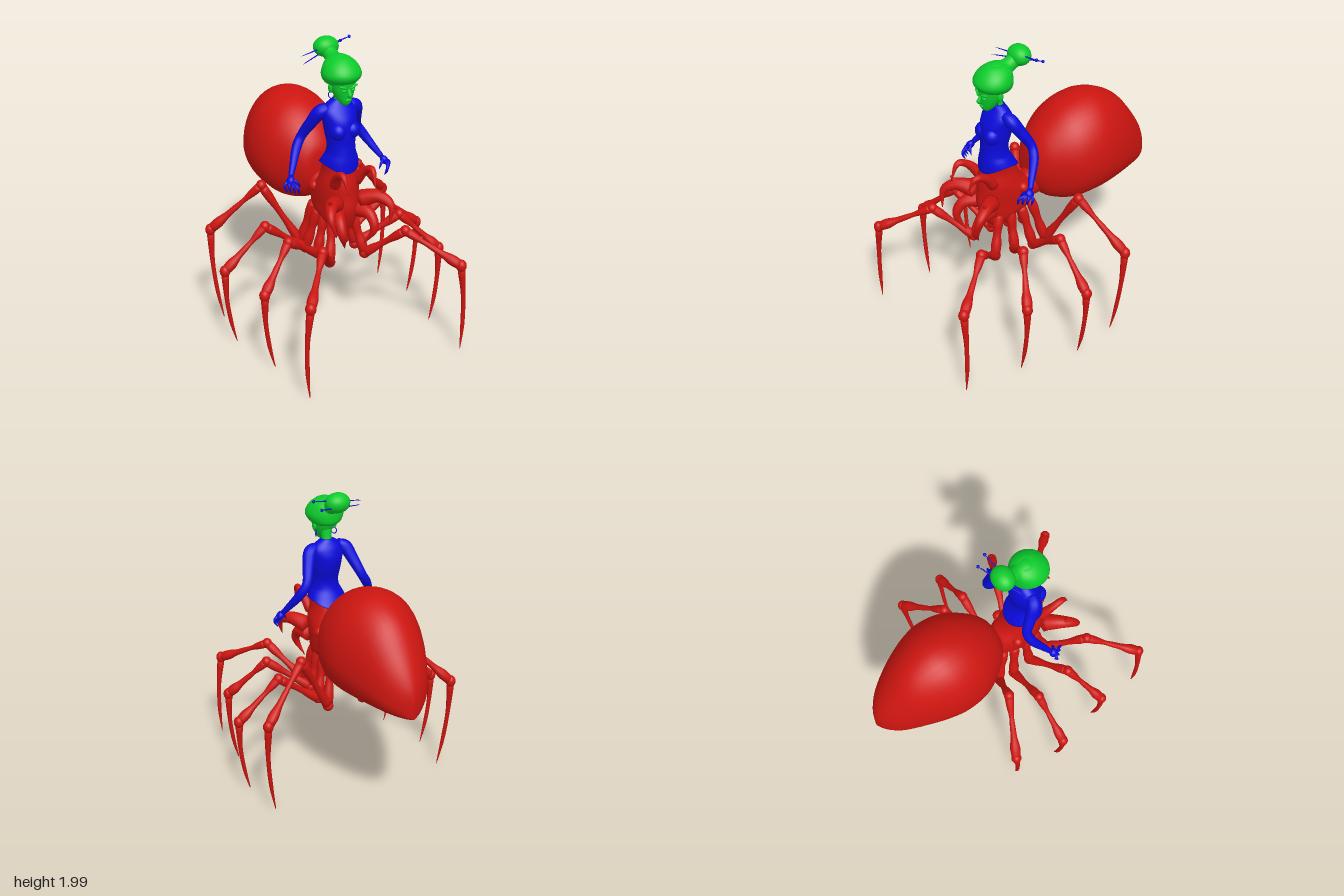
import * as THREE from 'three';
import { mergeVertices } from 'three/addons/utils/BufferGeometryUtils.js';

const red = new THREE.MeshStandardMaterial({ color: 0xcc1510 });
const blue = new THREE.MeshStandardMaterial({ color: 0x0a0adc });
const green = new THREE.MeshStandardMaterial({ color: 0x0ccc2c });

// Catmull-Rom through rows of numbers, t in 0..1
function spline(rows, t) {
  const n = rows.length - 1, f = Math.min(t * n, n - 1e-6), i = Math.floor(f), u = f - i;
  const at = k => rows[Math.max(0, Math.min(n, k))];
  return rows[0].map((_, c) => {
    const [a, b, d, e] = [at(i - 1)[c], at(i)[c], at(i + 1)[c], at(i + 2)[c]];
    return b + 0.5 * u * (d - a + u * (2 * a - 5 * b + 4 * d - e + u * (3 * (b - d) + e - a)));
  });
}

// Closed skin over cross-sections; section(row, angle) gives a point
function loft(rows, section, steps = 30, sides = 36) {
  const pos = [], index = [];
  for (let i = 0; i <= steps; i++) {
    const row = spline(rows, i / steps);
    for (let j = 0; j < sides; j++) pos.push(...section(row, (j / sides) * Math.PI * 2));
  }
  const id = (i, j) => i * sides + (j % sides);
  for (let i = 0; i < steps; i++) for (let j = 0; j < sides; j++) {
    index.push(id(i, j), id(i, j + 1), id(i + 1, j), id(i, j + 1), id(i + 1, j + 1), id(i + 1, j));
  }
  for (let j = 1; j < sides - 1; j++) {
    index.push(id(0, 0), id(0, j + 1), id(0, j), id(steps, 0), id(steps, j), id(steps, j + 1));
  }
  const g = new THREE.BufferGeometry();
  g.setAttribute('position', new THREE.Float32BufferAttribute(pos, 3));
  g.setIndex(index);
  g.computeVertexNormals();
  return g;
}
// Section for upright lofts, row = [y, zCentre, rx, rz]
const upright = ([y, z, rx, rz], a) => [rx * Math.sin(a), y, z + rz * Math.cos(a)];

// Tapered tube through rows [x, y, z, radius], closed at both ends
function limb(rows, sides = 12, perSpan = 6) {
  const n = (rows.length - 1) * perSpan;
  const curve = new THREE.CatmullRomCurve3(rows.map(r => new THREE.Vector3(r[0], r[1], r[2])));
  curve.getPointAt = (t, v) => curve.getPoint(t, v);
  curve.getTangentAt = (t, v) => curve.getTangent(t, v);
  const g = new THREE.TubeGeometry(curve, n, 1, sides);
  const p = g.attributes.position, v = new THREE.Vector3(), c = new THREE.Vector3();
  const radii = rows.map(r => [r[3]]);
  for (let i = 0; i <= n; i++) {
    curve.getPoint(i / n, c);
    const r = i % n === 0 ? 0 : Math.max(0.001, spline(radii, i / n)[0]);
    for (let j = 0; j <= sides; j++) {
      const k = i * (sides + 1) + j;
      v.fromBufferAttribute(p, k).sub(c).multiplyScalar(r).add(c);
      p.setXYZ(k, v.x, v.y, v.z);
    }
  }
  g.deleteAttribute('uv');
  g.deleteAttribute('normal');
  const m = mergeVertices(g, 1e-5);
  m.computeVertexNormals();
  return m;
}

function add(parent, name, geometry, material) {
  const m = new THREE.Mesh(geometry, material);
  m.name = name;
  parent.add(m);
  return m;
}
function ball(parent, name, material, x, y, z, rx, ry = rx, rz = rx) {
  const m = add(parent, name, new THREE.SphereGeometry(1, 24, 16), material);
  m.position.set(x, y, z);
  m.scale.set(rx, ry, rz);
  return m;
}
const flip = (rows, s) => rows.map(r => [r[0] * s, ...r.slice(1)]);

export function createModel() {
  const model = new THREE.Group();
  model.name = 'spiderWoman';

  // Abdomen: rows [z, top, bottom, halfWidth, widestY], front to back
  add(model, 'abdomen', loft([
    [0.03, 1.15, 1.05, 0.06, 1.1], [0.015, 1.25, 0.97, 0.12, 1.1], [-0.06, 1.36, 0.87, 0.2, 1.12],
    [-0.2, 1.47, 0.825, 0.288, 1.12], [-0.36, 1.52, 0.835, 0.315, 1.12], [-0.5, 1.51, 0.85, 0.292, 1.1],
    [-0.66, 1.42, 0.86, 0.23, 1.06], [-0.8, 1.24, 0.87, 0.155, 1.0], [-0.88, 1.1, 0.875, 0.075, 0.96],
    [-0.91, 1.0, 0.88, 0.008, 0.94],
  ], ([z, top, bot, w, mid], a) => {
    const s = Math.sin(a), c = Math.cos(a);
    const x = c < 0 ? Math.sign(s) * Math.abs(s) ** 0.7 : s;
    return [w * x, mid + c * (c > 0 ? top - mid : mid - bot), z];
  }, 45, 40), red);

  // Spider fore-body and waist joint
  add(model, 'foreBody', loft([
    [0.79, 0.31, 0.07, 0.05], [0.83, 0.27, 0.1, 0.11], [0.88, 0.21, 0.12, 0.19], [0.95, 0.2, 0.125, 0.215],
    [1.03, 0.22, 0.13, 0.185], [1.1, 0.25, 0.125, 0.15], [1.18, 0.26, 0.108, 0.125],
    [1.25, 0.265, 0.108, 0.105], [1.28, 0.265, 0.085, 0.085],
  ], upright), red);
  ball(model, 'waistJoint', red, 0, 0.98, 0.0, 0.09, 0.1, 0.1);

  // Legs: base, low joint, knee, ankle, tip
  const legs = [
    [[0.07, 0.88, 0.3], [0.13, 0.6, 0.375], [0.3, 0.81, 0.585], [0.54, 0.63, 0.87], [0.555, 0.01, 0.885]],
    [[0.08, 0.88, 0.22], [0.14, 0.6, 0.23], [0.41, 0.8, 0.345], [0.645, 0.55, 0.475], [0.585, 0.01, 0.485]],
    [[0.08, 0.88, 0.14], [0.15, 0.58, 0.09], [0.44, 0.8, 0.08], [0.73, 0.55, 0.08], [0.665, 0.01, 0.09]],
    [[0.07, 0.9, 0.06], [0.13, 0.57, -0.02], [0.365, 0.995, -0.115], [0.67, 0.68, -0.27], [0.615, 0.01, -0.22]],
  ];
  const between = (a, b, t) => a.map((v, i) => v + (b[i] - v) * t);
  // Straight leg segment with its radii spread evenly
  const segment = (a, b, radii) => limb(radii.map((r, i) => [...between(a, b, i / (radii.length - 1)), r]), 12, 4);

  for (const s of [1, -1]) {
    const side = s > 0 ? 'left' : 'right';
    legs.forEach((raw, k) => {
      const leg = new THREE.Group();
      leg.name = `${side}Leg${k + 1}`;
      model.add(leg);
      const [base, low, knee, ankle, tip] = flip(raw, s);
      add(leg, 'hip', segment(base, low, [0.03, 0.034, 0.026, 0.034, 0.03]), red);
      add(leg, 'thigh', segment(low, knee, [0.034, 0.03, 0.021, 0.021, 0.03, 0.03]), red);
      add(leg, 'foreleg', segment(knee, ankle, [0.03, 0.026, 0.016, 0.019, 0.022, 0.034, 0.03]), red);
      ball(leg, 'lowJoint', red, ...low, 0.036);
      ball(leg, 'knee', red, ...knee, 0.034, 0.036, 0.034);
      ball(leg, 'ankle', red, ...ankle, 0.034, 0.04, 0.034);
      const m1 = between(ankle, tip, 0.35), m2 = between(ankle, tip, 0.7);
      add(leg, 'shin', limb([[...ankle, 0.026], [m1[0] + s * 0.02, m1[1], m1[2], 0.015],
        [m2[0] + s * 0.018, m2[1], m2[2], 0.013], [...tip, 0.003]]), red);
    });

    // Curved horns and fangs at the front of the fore-body
    const claws = {
      upperHorn: [[0.07, 1.1, 0.33, 0.04], [0.1, 1.21, 0.42, 0.026], [0.105, 1.235, 0.49, 0.02], [0.095, 1.13, 0.55, 0.003]],
      middleClaw: [[0.08, 0.99, 0.36, 0.06], [0.17, 1.03, 0.46, 0.042], [0.215, 0.99, 0.54, 0.026], [0.19, 0.87, 0.57, 0.003]],
      clawSpur: [[0.15, 1.0, 0.43, 0.03], [0.18, 1.05, 0.47, 0.02], [0.195, 1.1, 0.5, 0.003]],
      fang: [[0.07, 0.93, 0.35, 0.055], [0.11, 0.92, 0.46, 0.038], [0.115, 0.84, 0.51, 0.027], [0.07, 0.72, 0.46, 0.003]],
    };
    for (const [name, rows] of Object.entries(claws)) add(model, `${side}_${name}`, limb(flip(rows, s)), red);
    ball(model, `${side}BodyKnob`, red, s * 0.11, 1.04, 0.14, 0.035);

    // Arm, hand and fingers
    const arm = new THREE.Group();
    arm.name = `${side}Arm`;
    model.add(arm);
    add(arm, 'sleeve', limb(flip([
      [0.07, 1.6, 0.25, 0.035], [0.125, 1.575, 0.235, 0.044], [0.16, 1.5, 0.19, 0.038], [0.2, 1.4, 0.135, 0.031],
      [0.24, 1.335, 0.145, 0.031], [0.3, 1.235, 0.205, 0.022], [0.335, 1.18, 0.24, 0.016],
    ], s)), blue);
    const palm = ball(arm, 'palm', blue, s * 0.342, 1.165, 0.25, 0.024, 0.032, 0.028);
    palm.rotation.z = s * 0.5;
    for (let f = 0; f < 4; f++) {
      const x = 0.375 - f * 0.018, z = 0.235 + f * 0.022;
      add(arm, 'finger', limb(flip([[0.347, 1.165, 0.25, 0.01], [x + 0.006, 1.145, z + 0.015, 0.009],
        [x, 1.115, z + 0.02, 0.007], [x - 0.015, 1.09, z + 0.01, 0.003]], s), 8, 4), blue);
    }
    add(arm, 'thumb', limb(flip([[0.335, 1.18, 0.25, 0.01], [0.305, 1.155, 0.275, 0.009],
      [0.285, 1.12, 0.28, 0.003]], s), 8, 4), blue);

    // Bust, ears, eyes and earrings
    ball(model, `${side}Bust`, blue, s * 0.048, 1.46, 0.325, 0.052, 0.056, 0.057);
    ball(model, `${side}Ear`, green, s * 0.074, 1.735, 0.275, 0.012, 0.03, 0.02);
    ball(model, `${side}Eye`, green, s * 0.03, 1.735, 0.366, 0.016, 0.008, 0.012);
    const brow = ball(model, `${side}Brow`, green, s * 0.033, 1.755, 0.365, 0.032, 0.008, 0.015);
    brow.rotation.z = s * 0.3;
    const ring = add(model, `${side}Earring`, new THREE.TorusGeometry(0.021, 0.003, 8, 24), blue);
    ring.position.set(s * 0.064, 1.685, 0.27);
    ring.rotation.y = s * 1.0;
  }

  // Fitted top with a hem dipping at front and back
  const torso = add(model, 'torso', loft([
    [1.19, 0.255, 0.125, 0.13], [1.25, 0.27, 0.112, 0.112], [1.31, 0.28, 0.095, 0.094], [1.37, 0.28, 0.09, 0.088],
    [1.44, 0.27, 0.1, 0.098], [1.52, 0.26, 0.11, 0.1], [1.58, 0.25, 0.115, 0.078], [1.62, 0.245, 0.085, 0.054],
    [1.65, 0.245, 0.04, 0.036],
  ], ([y, z, rx, rz], a) => {
    const lift = Math.max(0, 1.31 - y) * 0.45 * Math.sin(a) ** 2;
    return [rx * Math.sin(a), y + lift, z + rz * Math.cos(a)];
  }, 40), blue);
  torso.material = blue;

  // Neck, face and hair
  add(model, 'neck', limb([[0, 1.6, 0.24, 0.04], [0, 1.66, 0.25, 0.034], [0, 1.74, 0.275, 0.045]]), green);
  add(model, 'face', loft([
    [1.63, 0.325, 0.018, 0.02], [1.65, 0.32, 0.036, 0.043], [1.69, 0.305, 0.058, 0.066], [1.74, 0.295, 0.074, 0.08],
    [1.8, 0.285, 0.08, 0.088], [1.85, 0.28, 0.06, 0.06],
  ], upright), green);
  add(model, 'nose', limb([[0, 1.755, 0.36, 0.009], [0, 1.72, 0.379, 0.011], [0, 1.705, 0.385, 0.013], [0, 1.695, 0.365, 0.008]]), green);
  ball(model, 'lips', green, 0, 1.672, 0.364, 0.02, 0.009, 0.012);
  add(model, 'hair', loft([
    [1.75, 0.25, 0.07, 0.06], [1.77, 0.265, 0.1, 0.105], [1.81, 0.278, 0.124, 0.124], [1.85, 0.275, 0.118, 0.118],
    [1.89, 0.262, 0.092, 0.098], [1.92, 0.255, 0.05, 0.06], [1.925, 0.255, 0.01, 0.01],
  ], upright), green);
  add(model, 'hairTail', limb([[0, 1.84, 0.29, 0.08], [0, 1.86, 0.23, 0.078], [0, 1.888, 0.17, 0.048], [0, 1.925, 0.1, 0.05]], 20), green);
  ball(model, 'bun', green, 0, 1.935, 0.088, 0.083, 0.065, 0.07);

  // Hairpins with beads
  const pins = [[[-0.2, 1.91, 0.13], [0.17, 1.97, 0.08]], [[-0.2, 1.87, 0.16], [0.145, 1.93, 0.015]]];
  for (const [a, b] of pins) {
    add(model, 'hairpin', segment(a, b, [0.002, 0.004, 0.004, 0.004]), blue);
    ball(model, 'hairpinBead', blue, ...b, 0.01);
  }
  return model;
}
